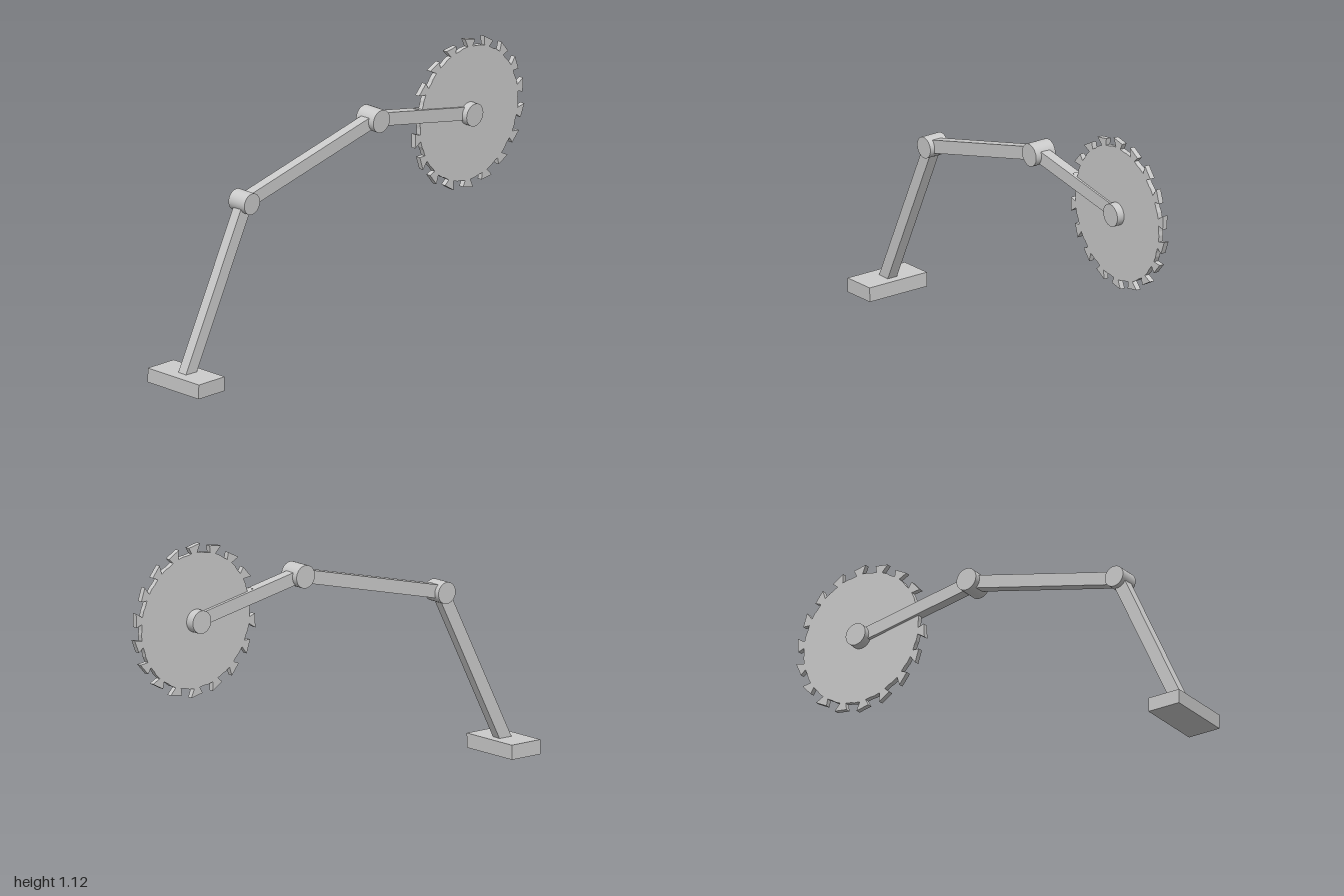
import * as THREE from 'three';

const TILT = -0.018; // the whole arm leans slightly sideways
const material = new THREE.MeshStandardMaterial({ color: 0xcccccc });

function addMesh(parent, name, geometry, position) {
  const mesh = new THREE.Mesh(geometry, material);
  mesh.name = name;
  mesh.position.copy(position);
  parent.add(mesh);
  return mesh;
}

// Square-section beam running from one point to another
function addBeam(parent, name, from, to) {
  const middle = from.clone().lerp(to, 0.5);
  const geometry = new THREE.BoxGeometry(0.045, 0.055, from.distanceTo(to));
  addMesh(parent, name, geometry, middle).lookAt(to);
}

// Round joint with its axis across the arm
function addJoint(parent, name, position, radius, length) {
  const geometry = new THREE.CylinderGeometry(radius, radius, length, 32);
  addMesh(parent, name, geometry, position).rotation.z = Math.PI / 2 + TILT;
}

// Disc outline with forward-leaning teeth
function bladeGeometry(teeth, thickness) {
  const step = (Math.PI * 2) / teeth;
  // [fraction of a tooth step behind the tip, radius]
  const profile = [[0.86, 0.284], [0.68, 0.281], [0.42, 0.283], [0.53, 0.31], [0, 0.321], [0.13, 0.284]];
  const points = [];
  for (let i = 0; i < teeth; i++) {
    const tip = Math.PI / 2 + 0.07 + i * step;
    for (const [back, r] of profile) {
      const a = tip - back * step;
      points.push(new THREE.Vector2(Math.cos(a) * r, Math.sin(a) * r));
    }
  }
  const geometry = new THREE.ExtrudeGeometry(new THREE.Shape(points), { depth: thickness, bevelEnabled: false });
  geometry.translate(0, 0, -thickness / 2);
  geometry.rotateY(Math.PI / 2);
  return geometry;
}

export function createModel() {
  const group = new THREE.Group();
  group.name = 'sawArm';

  const foot = new THREE.Vector3(0, 0.03, 0.935);
  const elbow = new THREE.Vector3(0.011, 0.72, 0.602);
  const wrist = new THREE.Vector3(0.022, 0.903, -0.131);
  const hub = new THREE.Vector3(0.0185, 0.8, -0.675);

  // Base plate
  const base = new THREE.BoxGeometry(0.29, 0.061, 0.15);
  addMesh(group, 'base', base, new THREE.Vector3(-0.001, 0.034, 0.925)).rotation.z = TILT;

  // Three beams of the folded arm
  addBeam(group, 'lowerArm', foot, elbow);
  addBeam(group, 'upperArm', elbow, wrist);
  addBeam(group, 'bladeArm', wrist, hub);

  // Joints
  addJoint(group, 'elbowJoint', elbow, 0.045, 0.09);
  addJoint(group, 'wristJoint', wrist, 0.048, 0.098);
  addJoint(group, 'bladeHub', hub, 0.048, 0.096);

  // Circular saw blade
  const bladeCentre = hub.clone().setX(0.022);
  addMesh(group, 'sawBlade', bladeGeometry(18, 0.022), bladeCentre);

  return group;
}
